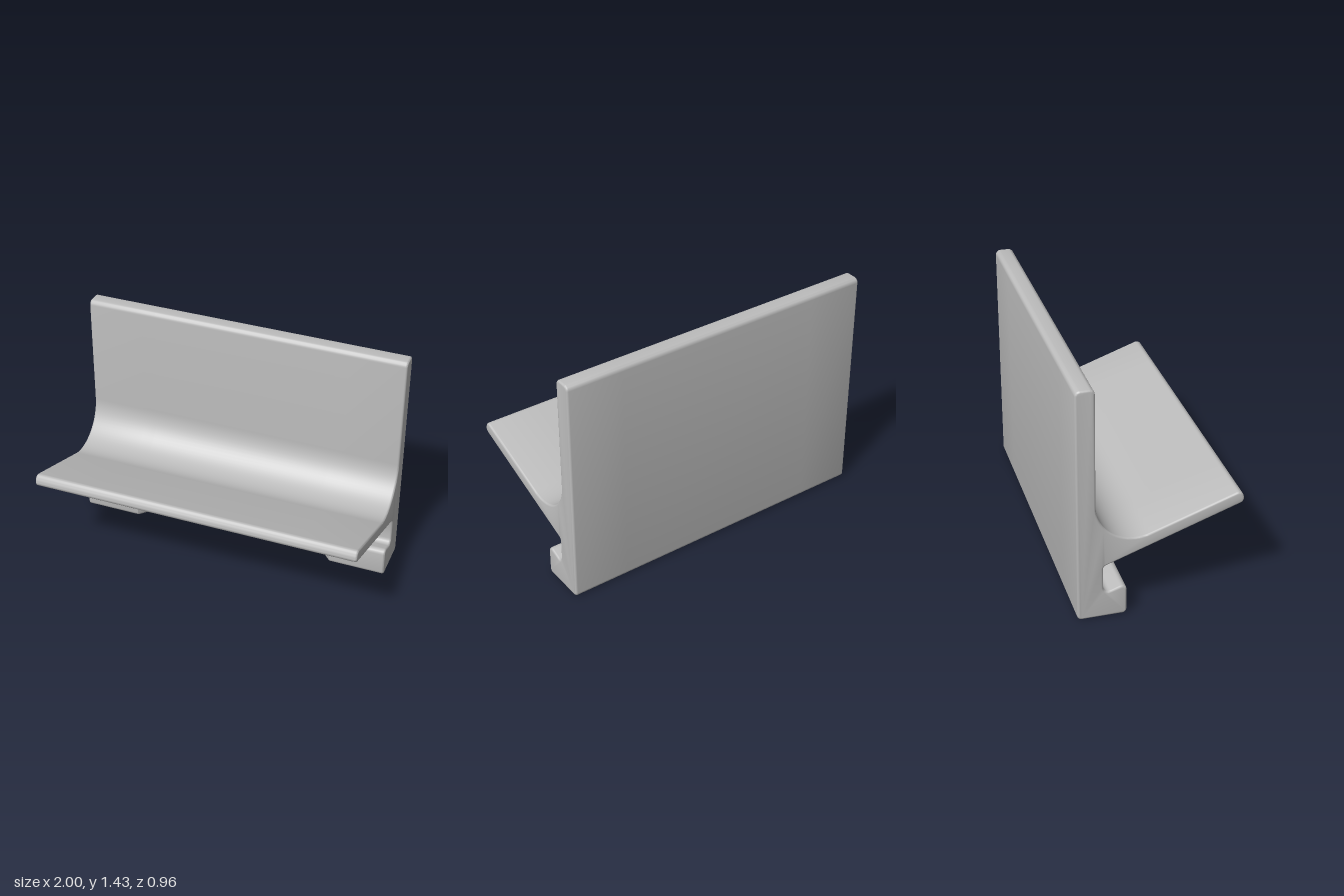
import * as THREE from 'three';
import { toCreasedNormals } from 'three/addons/utils/BufferGeometryUtils.js';

// Side profile corners: [z, y, fillet radius, segments]
const PROFILE = [
  [-0.475, 0, 0.025, 4],
  [-0.19, 0, 0.025, 4],
  [-0.19, 0.197, 0.028, 5],
  [-0.325, 0.148, 0.03, 5],
  [-0.325, 0.329, 0.025, 4],
  [0.49, 0.62, 0.03, 6],
  [0.466, 0.69, 0.03, 6],
  [-0.365, 0.393, 0.231, 20],
  [-0.365, 1.43, 0.03, 6],
  [-0.475, 1.43, 0.03, 6],
];

// Replace every corner by a circular fillet
function filletedPoints(corners) {
  const out = [];
  const n = corners.length;
  corners.forEach(([z, y, r, seg], i) => {
    const p = new THREE.Vector2(-z, y);
    const a = corners[(i + n - 1) % n], b = corners[(i + 1) % n];
    const da = new THREE.Vector2(-a[0], a[1]).sub(p).normalize();
    const db = new THREE.Vector2(-b[0], b[1]).sub(p).normalize();
    const half = Math.acos(da.dot(db)) / 2;
    const t = r / Math.tan(half);
    const c = da.clone().add(db).normalize().multiplyScalar(r / Math.sin(half)).add(p);
    const start = da.multiplyScalar(t).add(p).sub(c);
    const end = db.multiplyScalar(t).add(p).sub(c);
    const a0 = start.angle();
    let sweep = end.angle() - a0;
    if (sweep > Math.PI) sweep -= 2 * Math.PI;
    if (sweep < -Math.PI) sweep += 2 * Math.PI;
    for (let k = 0; k <= seg; k++) {
      const ang = a0 + (sweep * k) / seg;
      out.push(new THREE.Vector2(c.x + r * Math.cos(ang), c.y + r * Math.sin(ang)));
    }
  });
  return out;
}

export function createModel() {
  const group = new THREE.Group();
  group.name = 'ledgeBracket';
  const grey = new THREE.MeshStandardMaterial({ color: 0xbcbcbc });
  grey.name = 'grey';

  // Extrude the profile across the width with softened ends
  const bevel = 0.012, depth = 2 - 2 * bevel, steps = 5;
  const geo = new THREE.ExtrudeGeometry(new THREE.Shape(filletedPoints(PROFILE)), {
    depth, steps, bevelEnabled: true, bevelThickness: bevel, bevelSize: bevel,
    bevelOffset: -bevel, bevelSegments: 3,
  });
  geo.rotateY(Math.PI / 2);
  geo.translate(-depth / 2, 0, 0);

  // Shift the inner rings to the ends of the foot's recess and push the lip back there
  const ringX = [null, -0.65, -0.57, 0.57, 0.65, null];
  const pos = geo.attributes.position;
  for (let i = 0; i < pos.count; i++) {
    const ring = Math.round(((pos.getX(i) + depth / 2) / depth) * steps);
    if (ring < 1 || ring > 4) continue;
    pos.setX(i, ringX[ring]);
    const y = pos.getY(i), z = pos.getZ(i);
    if ((ring === 2 || ring === 3) && y < 0.22 && z > -0.325) {
      pos.setZ(i, -0.325 + (z + 0.325) * (0.045 / 0.135));
      pos.setY(i, Math.min(y, 0.168));
    }
  }

  const mesh = new THREE.Mesh(toCreasedNormals(geo, 0.7), grey);
  mesh.name = 'backPlateWithShelfAndFoot';
  group.add(mesh);
  return group;
}
